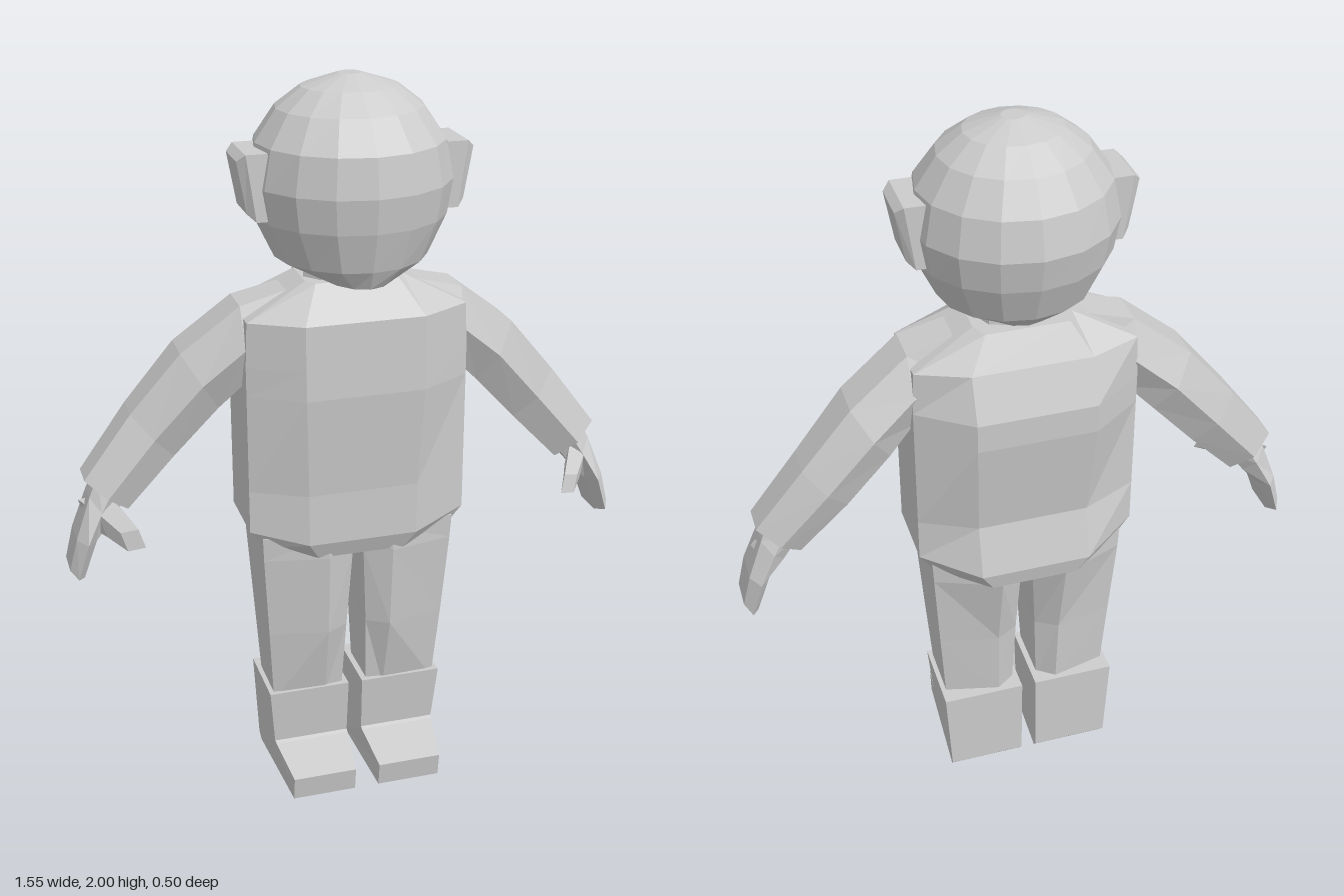
import * as THREE from 'three';

const material = new THREE.MeshStandardMaterial({ color: 0xcccccc, flatShading: true });

// Skin a list of equal-length rings of [x, y, z] points and close both ends; s = -1 mirrors in x
function loft(name, rings, s = 1) {
  const n = rings[0].length, pos = [];
  const tri = (...pts) => pts.forEach(p => pos.push(p[0] * s, p[1], p[2]));
  const centre = r => [0, 1, 2].map(k => r.reduce((sum, p) => sum + p[k], 0) / n);
  const first = rings[0], last = rings[rings.length - 1];
  const c0 = centre(first), c1 = centre(last);
  for (let j = 0; j < n; j++) {
    const k = (j + 1) % n;
    for (let i = 0; i + 1 < rings.length; i++) {
      const a = rings[i], b = rings[i + 1];
      tri(a[j], a[k], b[k]);
      tri(a[j], b[k], b[j]);
    }
    tri(c0, first[k], first[j]);
    tri(c1, last[j], last[k]);
  }
  // Turn all faces outward when the enclosed volume is negative
  let volume = 0;
  const a = new THREE.Vector3(), b = new THREE.Vector3(), c = new THREE.Vector3();
  for (let i = 0; i < pos.length; i += 9) {
    volume += a.fromArray(pos, i).dot(b.fromArray(pos, i + 3).cross(c.fromArray(pos, i + 6)));
  }
  if (volume < 0) {
    for (let i = 0; i < pos.length; i += 9) {
      for (let k = 0; k < 3; k++) [pos[i + 3 + k], pos[i + 6 + k]] = [pos[i + 6 + k], pos[i + 3 + k]];
    }
  }
  const geometry = new THREE.BufferGeometry();
  geometry.setAttribute('position', new THREE.Float32BufferAttribute(pos, 3));
  geometry.computeVertexNormals();
  const mesh = new THREE.Mesh(geometry, material);
  mesh.name = name;
  return mesh;
}

// Horizontal oval ring with separate front and back depth
function oval(y, hx, zf, zb, sides) {
  return Array.from({ length: sides }, (_, i) => {
    const t = (i / sides) * Math.PI * 2, c = Math.cos(t);
    return [Math.sin(t) * hx, y, c > 0 ? c * zf : -c * zb];
  });
}

// Eight-cornered torso ring: flat front and back, chamfered corners; ySide lifts the flanks
function torsoRing(y, ySide, hx, flat, zf, zb, sideF, sideB) {
  const half = [[flat, y, zf], [hx, ySide, sideF], [hx, ySide, sideB], [flat, y, zb]];
  return [...half, ...half.slice().reverse().map(([x, h, z]) => [-x, h, z])];
}

// Six-sided limb ring between a top and a bottom point given in the front plane
function armRing(tx, ty, bx, by, z, hz) {
  const mx = (tx + bx) / 2, my = (ty + by) / 2, e = hz * 0.55;
  return [[tx, ty, z + e], [mx, my, z + hz], [bx, by, z + e],
    [bx, by, z - e], [mx, my, z - hz], [tx, ty, z - e]];
}

export function createModel() {
  const model = new THREE.Group();

  // Faceted head, slightly pulled forward at the chin
  model.add(loft('head', [
    [1.495, 0.1, 0.185, -0.13], [1.545, 0.2, 0.21, -0.185], [1.65, 0.25, 0.24, -0.23],
    [1.74, 0.265, 0.253, -0.25], [1.84, 0.245, 0.24, -0.23], [1.92, 0.19, 0.175, -0.18],
    [1.97, 0.125, 0.11, -0.11], [2, 0.03, 0.03, -0.03],
  ].map(r => oval(...r, 16))));

  // Neck
  model.add(loft('neck', [
    oval(1.44, 0.13, 0.07, -0.12, 8), oval(1.53, 0.12, 0.06, -0.11, 8),
  ]));

  // Torso from hem to collar
  model.add(loft('torso', [
    torsoRing(0.725, 0.755, 0.26, 0.12, 0.115, -0.205, 0.07, -0.12),
    torsoRing(0.775, 0.81, 0.3, 0.15, 0.135, -0.215, 0.08, -0.12),
    torsoRing(0.92, 0.93, 0.3, 0.15, 0.135, -0.18, 0.08, -0.12),
    torsoRing(1.2, 1.2, 0.3, 0.16, 0.16, -0.22, 0.08, -0.12),
    torsoRing(1.28, 1.28, 0.3, 0.16, 0.158, -0.22, 0.08, -0.12),
    torsoRing(1.4, 1.4, 0.295, 0.16, 0.155, -0.175, 0.08, -0.12),
    torsoRing(1.485, 1.485, 0.13, 0.11, 0.07, -0.125, 0.04, -0.08),
  ]));

  for (const s of [1, -1]) {
    const side = s > 0 ? 'left' : 'right';

    // Ear: chamfered slab leaning outward towards the top
    const earRing = (inner, grow) => [[-1, -1], [1, -1], [1, 1], [-1, 1]].map(([v, w]) =>
      [inner + v * 0.012, 1.745 + v * (0.085 - grow), 0.01 + w * (0.075 - grow)]);
    model.add(loft(side + 'Ear', [earRing(0.22, 0), earRing(0.275, 0), earRing(0.295, 0.018)], s));

    // Sleeved arm
    model.add(loft(side + 'Arm', [
      armRing(0.14, 1.47, 0.22, 1.22, -0.02, 0.08),
      armRing(0.3, 1.43, 0.29, 1.22, -0.025, 0.1),
      armRing(0.455, 1.31, 0.36, 1.15, -0.045, 0.1),
      armRing(0.59, 1.15, 0.48, 1.02, -0.055, 0.085),
      armRing(0.72, 0.98, 0.61, 0.885, -0.045, 0.075),
    ], s));

    // Mitten hand and forward thumb
    model.add(loft(side + 'Hand', [
      armRing(0.685, 0.985, 0.61, 0.92, -0.04, 0.055),
      armRing(0.71, 0.93, 0.655, 0.86, -0.04, 0.065),
      armRing(0.752, 0.82, 0.7, 0.81, -0.035, 0.085),
      armRing(0.775, 0.73, 0.738, 0.705, -0.035, 0.08),
    ], s));
    const thumbRing = (x, y, z, h) => [[x + h, y + h * 0.6, z - h * 0.5], [x - h * 0.5, y + h, z],
      [x - h, y - h * 0.6, z + h * 0.5], [x + h * 0.5, y - h, z]];
    model.add(loft(side + 'Thumb', [
      thumbRing(0.69, 0.88, -0.03, 0.045), thumbRing(0.655, 0.87, 0.035, 0.04),
      thumbRing(0.615, 0.84, 0.095, 0.03),
    ], s));

    // Trouser leg, deeper along its inner edge
    const legRing = (y, xi, xo, zf, zb, of, ob) =>
      [[xi, y, of], [(xi + xo) / 2 - 0.05, y, zf], [xo, y, of], [xo, y, ob], [(xi + xo) / 2 - 0.05, y, zb], [xi, y, ob]];
    model.add(loft(side + 'Leg', [
      legRing(0.79, 0.012, 0.268, 0.12, -0.2, 0.09, -0.13),
      legRing(0.72, 0.015, 0.265, 0.12, -0.2, 0.085, -0.13),
      legRing(0.48, 0.028, 0.25, 0.1, -0.15, 0.065, -0.115),
      legRing(0.25, 0.037, 0.235, 0.045, -0.14, 0.04, -0.105),
    ], s));

    // Boot: straight shaft turning through the ankle into a wedge toe
    const bootRing = (xi, xo, yf, zf, yb, zb) => [[xi, yf, zf], [xo, yf, zf], [xo, yb, zb], [xi, yb, zb]];
    model.add(loft(side + 'Boot', [
      bootRing(0.02, 0.25, 0.28, 0.06, 0.275, -0.155),
      bootRing(0.022, 0.236, 0.115, 0.045, 0.02, -0.157),
      bootRing(0.022, 0.234, 0.11, 0.055, 0, -0.14),
      bootRing(0.035, 0.215, 0.07, 0.185, 0, 0.175),
    ], s));
  }
  return model;
}
